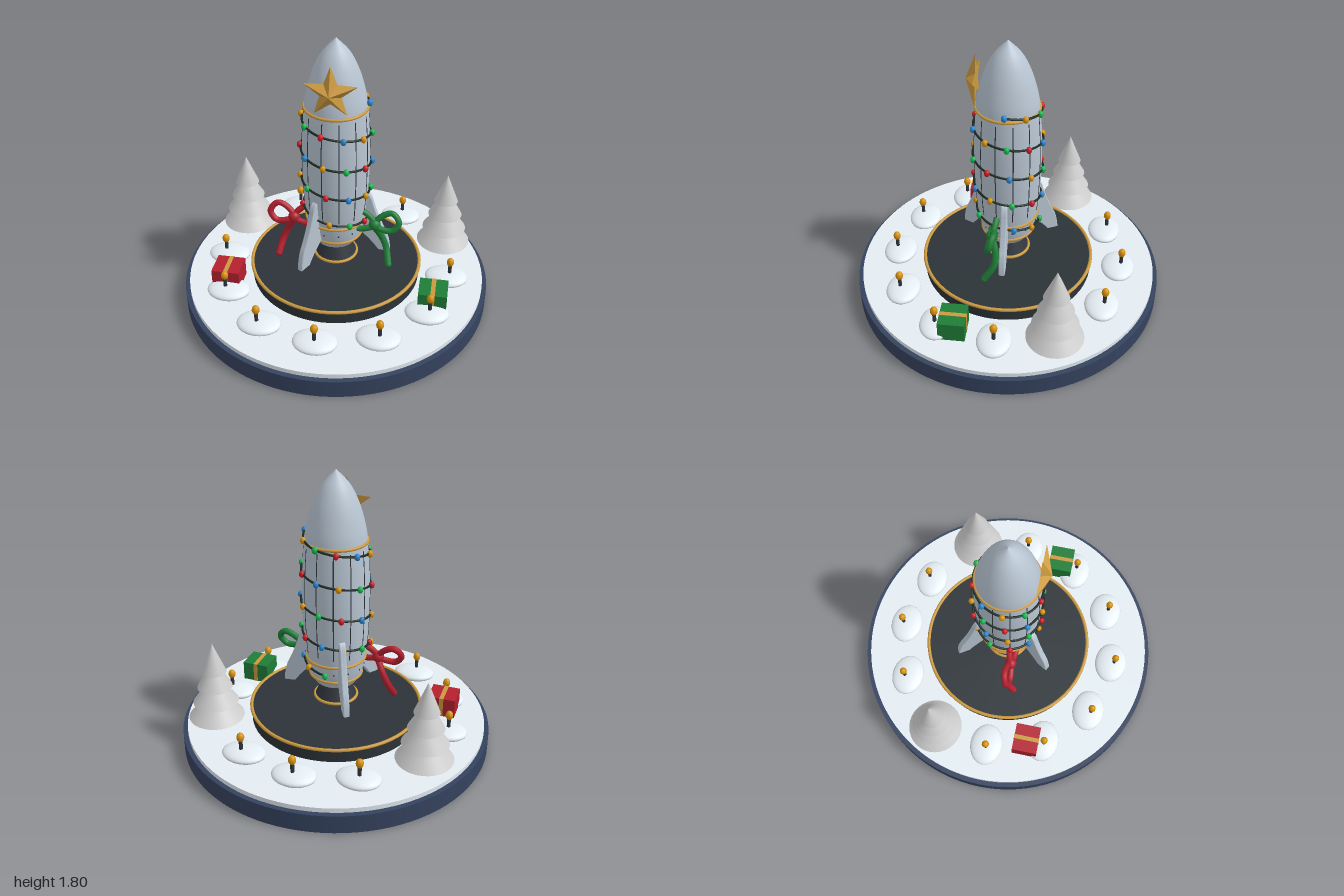
import * as THREE from 'three';

const mat = (color, extra = {}) =>
  new THREE.MeshStandardMaterial({ color, ...extra });
const M = {
  navy: mat(0x35435f), snow: mat(0xe4edf3), pad: mat(0x2c3338), gold: mat(0xcc9a40),
  hull: mat(0xb9c6d3), dark: mat(0x30363d), red: mat(0xb3202e), green: mat(0x1f7d38),
  grey: mat(0xcccccc), wire: mat(0x1b2a22), bulb: mat(0xd8920f),
  star: mat(0xcc9a40, { flatShading: true }),
};
const lightMats = [mat(0x2a86d0), mat(0xd8920f), mat(0x18b850), mat(0xd01c28)];

function add(parent, name, geometry, material, x = 0, y = 0, z = 0) {
  const mesh = new THREE.Mesh(geometry, material);
  mesh.name = name;
  mesh.position.set(x, y, z);
  parent.add(mesh);
  return mesh;
}
const cyl = (rTop, rBottom, h, n = 32) => new THREE.CylinderGeometry(rTop, rBottom, h, n);
const v3 = (x, y, z) => new THREE.Vector3(x, y, z);
const tube = (pts, n, r, closed = false) =>
  new THREE.TubeGeometry(new THREE.CatmullRomCurve3(pts, closed), n, r, 8, closed);

function ring(parent, name, radius, thick, y) {
  add(parent, name, new THREE.TorusGeometry(radius, thick, 10, 64), M.gold, 0, y, 0).rotation.x = Math.PI / 2;
}

// Hull outline (radius, height), smoothed
const hullProfile = new THREE.SplineCurve([
  [0.13, 0.41], [0.165, 0.47], [0.187, 0.59], [0.202, 0.75], [0.208, 0.95], [0.206, 1.15],
  [0.192, 1.36], [0.175, 1.47], [0.137, 1.6], [0.082, 1.71], [0, 1.8],
].map(([r, y]) => new THREE.Vector2(r, y))).getPoints(60);
hullProfile[60].x = 0;

function hullRadius(y) {
  const i = Math.max(1, hullProfile.findIndex(p => p.y >= y));
  const a = hullProfile[i - 1], b = hullProfile[i];
  return a.x + (b.x - a.x) * (y - a.y) / (b.y - a.y);
}

function createRocket() {
  const g = new THREE.Group();
  g.name = 'rocket';
  add(g, 'hull', new THREE.LatheGeometry(hullProfile, 48), M.hull);
  add(g, 'hullFloor', cyl(0.13, 0.13, 0.01), M.hull, 0, 0.415, 0);
  add(g, 'nozzle', cyl(0.08, 0.138, 0.125), M.dark, 0, 0.3525, 0);
  ring(g, 'nozzleRing', 0.136, 0.01, 0.295);
  ring(g, 'lowerBand', 0.164, 0.01, 0.468);
  ring(g, 'middleBand', 0.187, 0.01, 0.588);
  ring(g, 'noseBand', 0.191, 0.01, 1.37);

  // Panel seams and rivets
  for (let i = 0; i < 12; i++) {
    const a = (i + 0.5) * Math.PI / 6;
    const seam = [];
    for (let k = 0; k <= 8; k++) {
      const y = 0.64 + k * 0.0875, r = hullRadius(y) - 0.001;
      seam.push(v3(r * Math.cos(a), y, r * Math.sin(a)));
    }
    add(g, 'panelSeam', tube(seam, 16, 0.0035), M.dark);
    const r = hullRadius(0.53);
    add(g, 'rivet', new THREE.SphereGeometry(0.006, 8, 6), M.dark, r * Math.cos(a), 0.53, r * Math.sin(a));
  }

  // Three swept fins
  const s = new THREE.Shape();
  s.moveTo(0.17, 0.77);
  s.quadraticCurveTo(0.215, 0.79, 0.235, 0.7);
  s.quadraticCurveTo(0.27, 0.58, 0.32, 0.48);
  s.quadraticCurveTo(0.345, 0.42, 0.35, 0.345);
  s.lineTo(0.285, 0.35);
  s.quadraticCurveTo(0.24, 0.42, 0.15, 0.5);
  const finGeo = new THREE.ExtrudeGeometry(s, {
    depth: 0.024, bevelEnabled: true, bevelThickness: 0.008, bevelSize: 0.007, bevelSegments: 3, curveSegments: 10,
  }).translate(0, 0, -0.012);
  for (let i = 0; i < 3; i++) add(g, 'fin', finGeo, M.hull).rotation.y = i * Math.PI * 2 / 3;
  return g;
}

// Five-pointed star with raised centre and flat back
function starGeometry(outer, inner, depth) {
  const pos = [];
  const pt = i => {
    const a = Math.PI / 2 + i * Math.PI / 5, r = i % 2 ? inner : outer;
    return [r * Math.cos(a), r * Math.sin(a), 0];
  };
  for (let i = 0; i < 10; i++) {
    pos.push(0, 0, depth, ...pt(i), ...pt(i + 1));
    pos.push(0, 0, 0, ...pt(i + 1), ...pt(i));
  }
  const geo = new THREE.BufferGeometry();
  geo.setAttribute('position', new THREE.Float32BufferAttribute(pos, 3));
  geo.computeVertexNormals();
  return geo;
}

// Wire spiralling down the hull with coloured bulbs
function createLightString() {
  const g = new THREE.Group();
  g.name = 'lightString';
  const turns = 4.25, count = 43;
  const at = t => {
    const y = 1.405 - t * turns * 0.205, a = t * turns * Math.PI * 2;
    const r = hullRadius(Math.max(y, 0.62)) + 0.008;
    return v3(r * Math.cos(a), y, -r * Math.sin(a));
  };
  const pts = [];
  for (let i = 0; i <= 120; i++) pts.push(at(i / 120));
  add(g, 'wire', tube(pts, 260, 0.007), M.wire);
  const bulb = new THREE.SphereGeometry(0.018, 12, 10).scale(1, 1.25, 1);
  for (let i = 0; i < count; i++) {
    const p = at(i / (count - 1));
    add(g, 'lightBulb', bulb, lightMats[i % 4], p.x * 1.03, p.y, p.z * 1.03);
  }
  return g;
}

// Ribbon bow: two loops, knot and a curved tail
function createBow(side, material) {
  const g = new THREE.Group();
  g.name = side > 0 ? 'leftBow' : 'rightBow';
  for (const d of [1, -1]) {
    const loop = [[0, 0, 0], [0.05, 0.062, -0.018], [0.11, 0.082, -0.02], [0.153, 0.03, 0],
      [0.115, -0.025, 0.015], [0.05, -0.025, 0.012]].map(([x, y, z]) => v3(d * x, y, z));
    add(g, 'bowLoop', tube(loop, 48, 0.02, true), material);
  }
  add(g, 'bowKnot', new THREE.SphereGeometry(0.038, 20, 14), material);
  const tail = [[0, -0.02, 0], [side * 0.04, -0.1, -0.025], [side * 0.075, -0.18, -0.02],
    [side * 0.1, -0.275, 0.04]].map(p => v3(...p));
  const tailEnd = tail[3];
  add(g, 'bowTail', tube(tail, 24, 0.022), material);
  add(g, 'bowTailTip', new THREE.SphereGeometry(0.022, 12, 8), material, tailEnd.x, tailEnd.y, tailEnd.z);
  g.position.set(side * 0.26, 0.58, 0.07);
  return g;
}

function createTree(x, z) {
  const g = new THREE.Group();
  g.name = 'tree';
  add(g, 'trunk', cyl(0.04, 0.04, 0.08, 16), M.grey, 0, 0.18, 0);
  for (let i = 0; i < 4; i++) {
    const h = 0.2;
    add(g, 'treeTier', new THREE.ConeGeometry(0.178 - i * 0.033, h, 32), M.grey, 0, 0.2 + i * 0.107 + h / 2, 0);
  }
  g.position.set(x, 0, z);
  return g;
}

function createGift(x, z, material) {
  const g = new THREE.Group();
  g.name = 'gift';
  add(g, 'giftBox', new THREE.BoxGeometry(0.18, 0.13, 0.165), material);
  add(g, 'giftRibbon', new THREE.BoxGeometry(0.028, 0.134, 0.169), M.gold);
  g.position.set(x, 0.216, z);
  return g;
}

export function createModel() {
  const model = new THREE.Group();
  model.name = 'festiveRocketDisplay';

  // Layered base
  add(model, 'base', cyl(1, 1, 0.12, 96), M.navy, 0, 0.06, 0);
  add(model, 'snowLayer', cyl(0.97, 0.97, 0.032, 96), M.snow, 0, 0.134, 0);
  add(model, 'launchPad', cyl(0.55, 0.55, 0.09, 72), M.pad, 0, 0.192, 0);
  ring(model, 'padRing', 0.552, 0.011, 0.236);

  // Snow mounds and lamps around the rim, leaving room for the trees
  const mound = new THREE.SphereGeometry(1, 28, 14).scale(0.139, 0.038, 0.109);
  const lampBulb = new THREE.SphereGeometry(0.024, 14, 10).scale(1, 1.3, 1);
  for (let i = 0; i < 12; i++) {
    if (i === 7 || i === 11) continue;
    const a = i * Math.PI / 6, c = Math.cos(a), s = Math.sin(a);
    add(model, 'snowMound', mound, M.snow, c * 0.735, 0.167, s * 0.735);
    add(model, 'lampPost', cyl(0.012, 0.012, 0.1, 12), M.dark, c * 0.755, 0.22, s * 0.755);
    add(model, 'lampBulb', lampBulb, M.bulb, c * 0.755, 0.287, s * 0.755);
  }

  model.add(createRocket(), createLightString());
  add(model, 'star', starGeometry(0.165, 0.068, 0.063), M.star, 0, 1.54, 0.185);
  for (const side of [1, -1]) {
    const material = side > 0 ? M.green : M.red;
    model.add(createBow(side, material), createGift(side * 0.663, 0.26, material), createTree(side * 0.688, -0.362));
  }
  return model;
}
